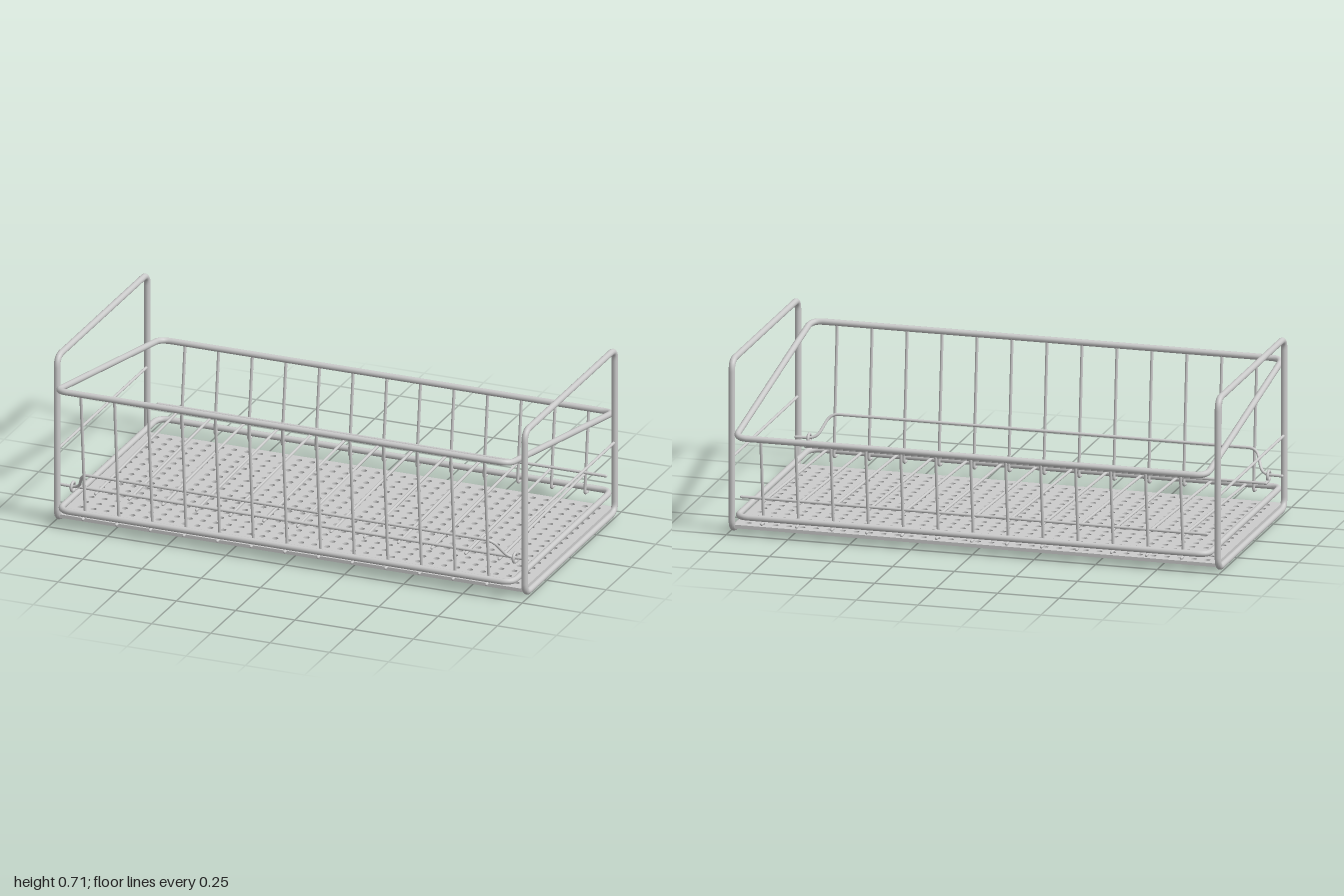
import * as THREE from 'three';
import { mergeGeometries } from 'three/addons/utils/BufferGeometryUtils.js';

const material = new THREE.MeshStandardMaterial({ color: 0xcccccc });
const V = (x, y, z) => new THREE.Vector3(x, y, z);

// Curve that steps exactly through its points, with bisecting tangents
class PointCurve extends THREE.Curve {
  constructor(points, closed) {
    super();
    this.points = points;
    this.closed = closed;
    this.steps = closed ? points.length : points.length - 1;
  }
  at(i) {
    const n = this.points.length;
    return this.points[this.closed ? (i + n) % n : Math.min(Math.max(i, 0), n - 1)];
  }
  getPointAt(u) { return this.at(Math.round(u * this.steps)).clone(); }
  getPoint(u) { return this.getPointAt(u); }
  getTangentAt(u) {
    const i = Math.round(u * this.steps), p = this.at(i);
    const a = p.clone().sub(this.at(i - 1)).normalize();
    const b = this.at(i + 1).clone().sub(p).normalize();
    return a.add(b).normalize();
  }
}

// Replaces each corner of a path by a short curve
function roundCorners(corners, radius, closed) {
  const n = corners.length, out = [];
  corners.forEach((c, i) => {
    if (!closed && (i === 0 || i === n - 1)) { out.push(c); return; }
    const toward = (p) => {
      const d = p.clone().sub(c);
      return c.clone().addScaledVector(d.clone().normalize(), Math.min(radius, d.length() * 0.45));
    };
    const bend = new THREE.QuadraticBezierCurve3(toward(corners[(i + n - 1) % n]), c, toward(corners[(i + 1) % n]));
    out.push(...bend.getPoints(7));
  });
  return out;
}

// Round wire along a path, with rounded ends when it is open
function wire(corners, r, bend = 0.02, closed = false) {
  const curve = new PointCurve(roundCorners(corners, bend, closed), closed);
  const parts = [new THREE.TubeGeometry(curve, curve.steps, r, 12, closed)];
  if (!closed) {
    for (const end of [corners[0], corners[corners.length - 1]]) {
      parts.push(new THREE.SphereGeometry(r, 12, 6).translate(end.x, end.y, end.z));
    }
  }
  return mergeGeometries(parts);
}

export function createModel() {
  const model = new THREE.Group();
  const add = (name, geometry) => {
    const mesh = new THREE.Mesh(geometry, material);
    mesh.name = name;
    model.add(mesh);
    return mesh;
  };

  // Perforated floor plate
  const plate = new THREE.Shape();
  plate.moveTo(-0.98, -0.44).lineTo(0.98, -0.44).lineTo(0.98, 0.465).lineTo(-0.98, 0.465).closePath();
  for (let i = 0; i < 35; i++) {
    for (let j = 0; j < 16; j++) {
      const hole = new THREE.Path();
      hole.absarc((i - 17) * 0.0548, 0.016 + (j - 7.5) * 0.0546, 0.012, 0, Math.PI * 2, true);
      plate.holes.push(hole);
    }
  }
  const floor = new THREE.ExtrudeGeometry(plate, { depth: 0.014, bevelEnabled: false, curveSegments: 10 });
  add('perforatedFloor', floor.rotateX(-Math.PI / 2).translate(0, 0.02, 0));

  // Upright side frames and their middle wires
  for (const [side, x] of [['left', 0.987], ['right', -0.987]]) {
    add(side + 'SideFrame', wire([
      V(x, 0.014, 0.443), V(x, 0.699, 0.443), V(x, 0.699, -0.467), V(x, 0.014, -0.467),
    ], 0.013, 0.045, true));
    add(side + 'MiddleWire', wire([V(x, 0.307, 0.443), V(x, 0.307, -0.467)], 0.006));
  }

  // Sloping top rim and level bottom rim of the basket
  const rim = (zFront, yFront, zBack, yBack) => wire([
    V(-0.957, yFront, zFront), V(0.957, yFront, zFront), V(0.957, yBack, zBack), V(-0.957, yBack, zBack),
  ], 0.0125, 0.05, true);
  add('topRim', rim(0.526, 0.592, -0.526, 0.404));
  add('bottomRim', rim(0.502, 0.08, -0.507, 0.08));

  // Wall wires hooked under the bottom rim, and the sloping tray wires
  for (let i = -6; i <= 6; i++) {
    const x = i * 0.142;
    add('frontWallWire', wire([V(x, 0.585, 0.525), V(x, 0.06, 0.48), V(x, 0.059, 0.508)], 0.006, 0.012));
    add('backWallWire', wire([V(x, 0.4, -0.526), V(x, 0.06, -0.486), V(x, 0.059, -0.514)], 0.006, 0.012));
    add('trayWire', wire([V(x, 0.117, 0.378), V(x, 0.145, -0.488)], 0.006));
  }

  // Long bars carrying the tray wires
  add('trayFrontBar', wire([V(-0.935, 0.129, 0.366), V(0.935, 0.129, 0.366)], 0.006));
  add('trayBackBar', wire([V(-0.945, 0.153, -0.476), V(0.945, 0.153, -0.476)], 0.006));

  // Raised front retaining bar, bent down to its pivots
  add('retainingBar', wire([
    V(-0.987, 0.15, 0.413), V(-0.905, 0.15, 0.418), V(-0.865, 0.235, 0.48),
    V(0.865, 0.235, 0.48), V(0.905, 0.15, 0.418), V(0.987, 0.15, 0.413),
  ], 0.006, 0.035));

  // Pivot eyes joining the retaining bar to the tray
  for (const x of [-0.933, 0.933]) {
    const eye = new THREE.TorusGeometry(0.018, 0.006, 10, 24).rotateY(Math.PI / 2);
    add('pivotEye', eye.translate(x, 0.148, 0.412));
    add('pivotArm', wire([V(x, 0.132, 0.42), V(x, 0.128, 0.405), V(x, 0.128, 0.366)], 0.006, 0.01));
  }
  return model;
}
